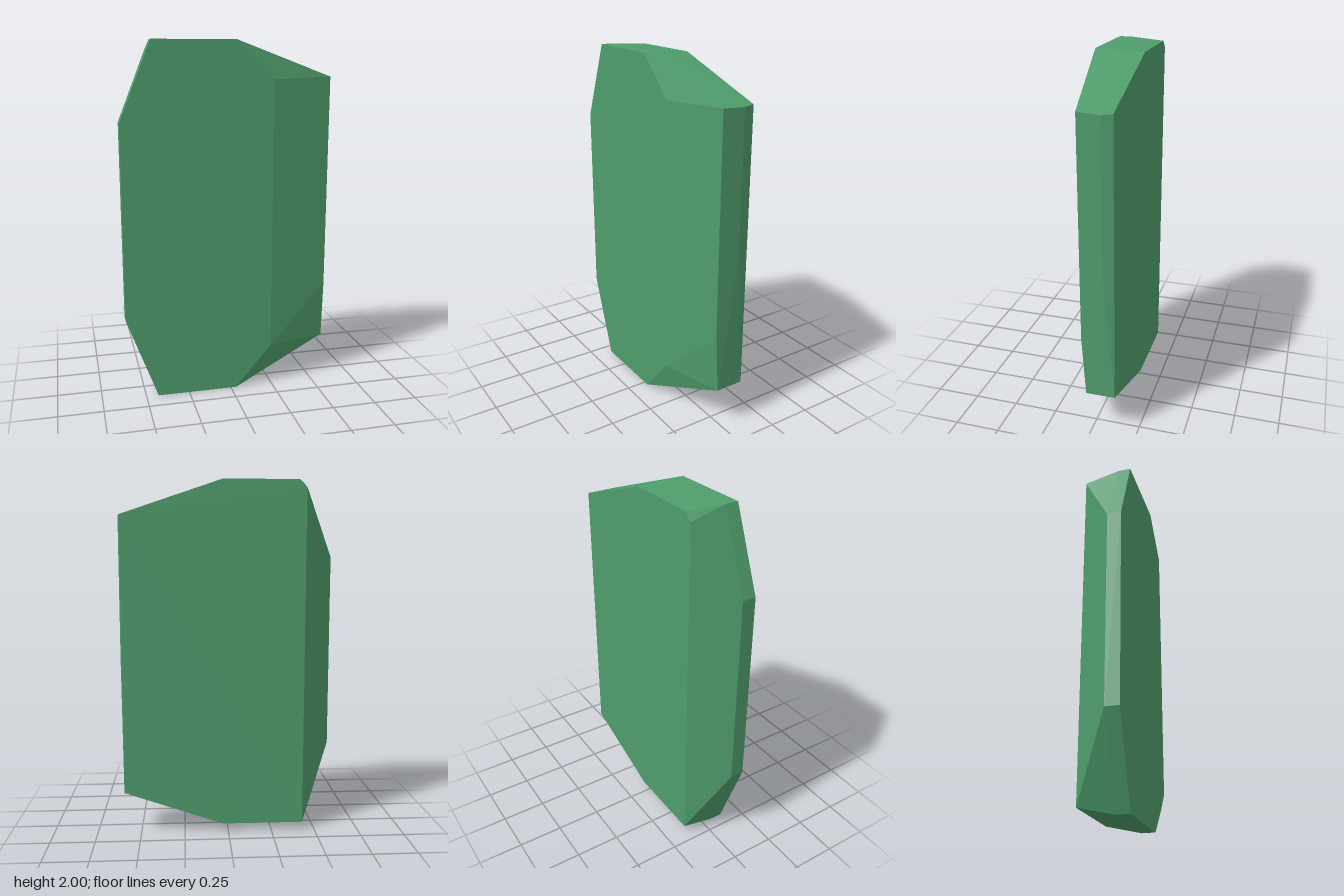
import * as THREE from 'three';
import { ConvexGeometry } from 'three/addons/geometries/ConvexGeometry.js';

export function createModel() {
  const green = new THREE.MeshStandardMaterial({ color: 0x4f9d6c });
  green.name = 'green';

  // Corners of the faceted slab, grouped by depth
  const F = 0.133, B = -0.135;
  const corners = [
    // front face
    [-0.605, 1.57, F], [-0.43, 2, F], [0.03, 2, F], [0.24, 1.79, F],
    [0.24, 0.245, F], [0.03, 0, F], [-0.43, 0, F], [-0.605, 0.47, F],
    // edge where the left bevel, top and bottom start to slope
    [-0.605, 1.57, 0.055], [-0.605, 0.47, 0.055],
    [-0.43, 2, 0.06], [0.03, 2, 0.06], [-0.43, 0, 0.06], [0.03, 0, 0.06],
    // right side, slightly bulged
    [0.595, 1.8, 0.048], [0.595, 0.58, 0.048], [0.595, 0.24, 0.027],
    [0.604, 1.795, -0.075], [0.604, 1.0, -0.075],
    // back face
    [0.593, 1.8, B], [0.03, 1.99, B], [-0.39, 1.99, B], [-0.43, 1.95, B],
    [-0.43, 0.045, B], [0.03, 0.045, B], [0.593, 0.24, B],
  ].map((c) => new THREE.Vector3(...c));

  const slab = new THREE.Mesh(new ConvexGeometry(corners), green);
  slab.name = 'stoneSlab';

  const group = new THREE.Group();
  group.name = 'facetedSlab';
  group.add(slab);
  return group;
}
